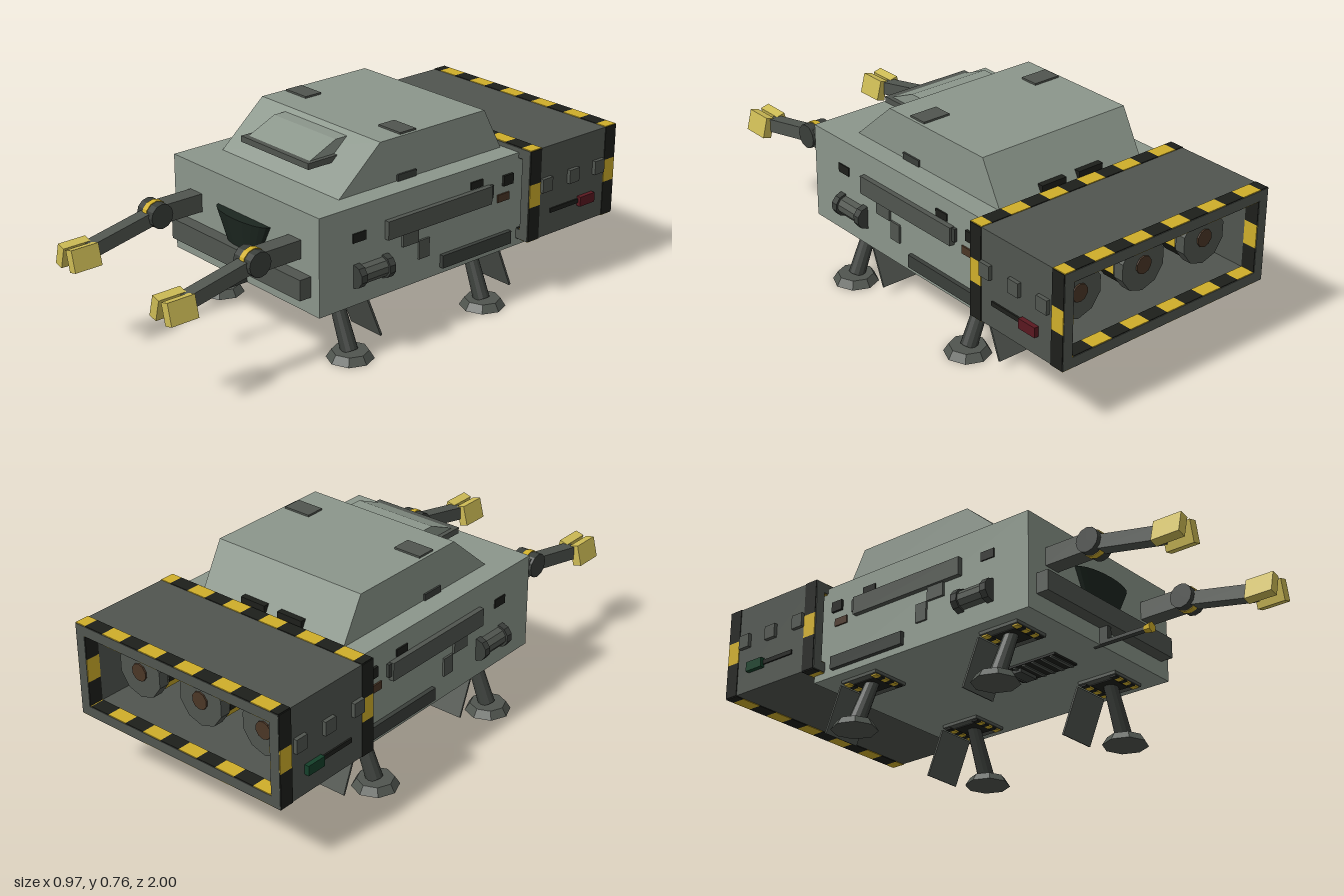
import * as THREE from 'three';

const mat = (color) => new THREE.MeshStandardMaterial({ color, flatShading: true });
const HULL = mat(0x8b968b), DARK = mat(0x50554f), DEEP = mat(0x3a3e3a), BLACK = mat(0x1d1f1b),
  YELLOW = mat(0xcfae2a), CLAW = mat(0xcdbb55), GLASS = mat(0x1c2620), RUST = mat(0x4a3626),
  RED = mat(0x5a1820), GREEN = mat(0x14402a);

export function createModel() {
  const model = new THREE.Group();

  const add = (name, geo, m, x = 0, y = 0, z = 0, parent = model) => {
    const mesh = new THREE.Mesh(geo, m);
    mesh.name = name;
    mesh.position.set(x, y, z);
    parent.add(mesh);
    return mesh;
  };
  // Box given by its extents on each axis
  const box = (name, m, x0, x1, y0, y1, z0, z1, parent) =>
    add(name, new THREE.BoxGeometry(Math.abs(x1 - x0), Math.abs(y1 - y0), Math.abs(z1 - z0)), m,
      (x0 + x1) / 2, (y0 + y1) / 2, (z0 + z1) / 2, parent);
  // Side profile of [z, y] points, extruded across x
  const profile = (name, m, pts, halfWidth) => {
    const shape = new THREE.Shape(pts.map(([z, y]) => new THREE.Vector2(-z, y)));
    const geo = new THREE.ExtrudeGeometry(shape, { depth: halfWidth * 2, bevelEnabled: false });
    geo.translate(0, 0, -halfWidth).rotateY(Math.PI / 2);
    return add(name, geo, m);
  };
  // Tapered rod between two points
  const rod = (name, m, a, b, r0, r1, sides = 10) => {
    const p = new THREE.Vector3(...a), q = new THREE.Vector3(...b);
    const d = q.clone().sub(p);
    const mesh = add(name, new THREE.CylinderGeometry(r1, r0, d.length(), sides), m);
    mesh.position.copy(p).add(q).multiplyScalar(0.5);
    mesh.quaternion.setFromUnitVectors(new THREE.Vector3(0, 1, 0), d.normalize());
    return mesh;
  };

  // Hull and cabin
  box('hull', HULL, -0.408, 0.408, 0.22, 0.59, -0.585, 0.43);
  profile('cabin', HULL, [[0.27, 0.59], [0.08, 0.755], [-0.43, 0.755], [-0.52, 0.59]], 0.325);
  profile('visor', HULL, [[0.275, 0.685], [0.15, 0.74], [0.08, 0.74], [0.1, 0.685]], 0.17);
  box('visorLip', DARK, -0.187, 0.187, 0.665, 0.688, 0.14, 0.29);
  box('bumper', DARK, -0.365, 0.365, 0.285, 0.363, 0.42, 0.48);

  // Bulging tapered nose window
  const nose = new THREE.CylinderGeometry(0.148, 0.085, 0.125, 10, 1, false, -Math.PI / 2, Math.PI);
  nose.scale(1, 1, 0.32);
  add('noseWindow', nose, GLASS, 0, 0.412, 0.43);

  // Probe under the nose
  rod('probe', DEEP, [0, 0.227, 0.4], [0, 0.227, 0.63], 0.013, 0.013, 6);
  rod('probeTip', YELLOW, [0, 0.227, 0.62], [0, 0.227, 0.648], 0.015, 0.021, 6);
  box('probeBracket', DEEP, -0.011, 0.011, 0.225, 0.3, 0.43, 0.465);

  // Belly grille
  box('bellySensor', DEEP, -0.045, 0.045, 0.198, 0.222, 0.055, 0.1);
  box('grille', BLACK, -0.065, 0.065, 0.212, 0.222, 0.02, 0.27);
  for (let i = 0; i < 6; i++)
    box('grilleSlat', DARK, -0.062, 0.062, 0.207, 0.214, 0.035 + i * 0.042, 0.048 + i * 0.042);

  // Engine housing: a tunnel open at both ends
  const EX = 0.465, EY0 = 0.25, EY1 = 0.607, T = 0.038, Z0 = -1, Z1 = -0.532;
  const wall = new THREE.Shape([[-EX, EY0], [EX, EY0], [EX, EY1], [-EX, EY1]].map((p) => new THREE.Vector2(...p)));
  wall.holes.push(new THREE.Path([[-EX + T, EY0 + T], [-EX + T, EY1 - T], [EX - T, EY1 - T], [EX - T, EY0 + T]]
    .map((p) => new THREE.Vector2(...p))));
  add('engineHousing', new THREE.ExtrudeGeometry(wall, { depth: Z1 - Z0, bevelEnabled: false }), DARK, 0, 0, Z0);

  // Hazard bands around both ends of the housing, outside and inside
  const E = 0.003;
  for (const z of [Z0 + 0.002, Z1 - 0.06]) {
    const z1 = z + 0.056;
    for (const [y0, y1] of [[EY0 - E, EY0 + T + E], [EY1 - T - E, EY1 + E]])
      for (let i = -1; i < 11; i++) {
        const x0 = Math.max(-EX, -0.43 + i * 0.085), x1 = Math.min(EX, -0.345 + i * 0.085);
        box('hazardStripe', i % 2 ? BLACK : YELLOW, x0, x1, y0, y1, z, z1);
      }
    for (const s of [-1, 1])
      [[EY0, 0.385], [0.385, 0.475], [0.475, EY1]].forEach(([y0, y1], i) =>
        box('hazardStripe', i === 1 ? YELLOW : BLACK, s * (EX - T - E), s * (EX + E), y0, y1, z, z1));
  }

  // Three thrusters
  for (const x of [-0.29, 0, 0.29]) {
    rod('thruster', DARK, [x, 0.425, -0.57], [x, 0.425, -0.85], 0.075, 0.085, 10);
    rod('thrusterNozzle', DARK, [x, 0.425, -0.84], [x, 0.425, -0.88], 0.1, 0.1, 10);
    rod('thrusterCore', RUST, [x, 0.425, -0.87], [x, 0.425, -0.886], 0.034, 0.034, 10);
    for (let i = 0; i < 10; i++) {
      const band = new THREE.CylinderGeometry(0.093, 0.093, 0.08, 1, 1, true, i * Math.PI / 5, Math.PI / 5);
      band.rotateX(Math.PI / 2);
      add('thrusterBand', band, i % 2 ? BLACK : YELLOW, x, 0.425, -0.79);
    }
  }

  for (const s of [-1, 1]) {
    // Side fittings: [name, material, z0, z1, y0, y1, outer x]
    for (const [name, m, z0, z1, y0, y1, out] of [
      ['sideWindow', BLACK, 0.22, 0.28, 0.458, 0.492, 0.413],
      ['sideRail', DARK, -0.38, 0.13, 0.432, 0.502, 0.428],
      ['railEnd', DEEP, -0.395, -0.38, 0.45, 0.5, 0.42],
      ['sidePanel', DARK, -0.025, 0.05, 0.38, 0.432, 0.418],
      ['sidePanel', DARK, -0.08, -0.03, 0.31, 0.382, 0.416],
      ['sideVent', BLACK, -0.345, -0.285, 0.508, 0.535, 0.414],
      ['rustPlate', RUST, -0.485, -0.425, 0.42, 0.45, 0.414],
      ['sideVent', BLACK, -0.5, -0.45, 0.48, 0.52, 0.418],
      ['lowerRail', DEEP, -0.49, -0.14, 0.245, 0.295, 0.425],
    ]) box(name, m, s * 0.4, s * out, y0, y1, z0, z1);
    box('cabinSideVent', DEEP, s * 0.32, s * 0.332, 0.588, 0.615, -0.09, 0);
    box('roofHatch', DARK, s * 0.2, s * 0.313, 0.75, 0.762, -0.1, -0.025);
    box('rearVent', BLACK, s * 0.03, s * 0.14, 0.592, 0.625, -0.525, -0.495);

    // Side tank with end collars
    rod('sideTank', DARK, [s * 0.41, 0.332, 0.12], [s * 0.41, 0.332, 0.27], 0.036, 0.036, 10);
    for (const z of [0.115, 0.248])
      rod('tankCollar', DEEP, [s * 0.41, 0.332, z], [s * 0.41, 0.332, z + 0.027], 0.044, 0.044, 10);

    // Housing side fittings and running light
    for (const z of [-0.62, -0.765, -0.905])
      box('housingBox', DARK, s * 0.46, s * 0.48, 0.433, 0.487, z - 0.026, z + 0.026);
    box('housingBar', BLACK, s * 0.46, s * 0.471, 0.338, 0.355, -0.83, -0.65);
    box('runningLight', s > 0 ? RED : GREEN, s * 0.46, s * 0.483, 0.326, 0.364, -0.88, -0.8);

    // Manipulator arm
    box('upperArm', DARK, s * 0.245, s * 0.313, 0.412, 0.482, 0.42, 0.6);
    rod('elbow', DEEP, [s * 0.233, 0.447, 0.615], [s * 0.323, 0.447, 0.615], 0.047, 0.047, 12);
    rod('elbowBand', YELLOW, [s * 0.267, 0.447, 0.615], [s * 0.29, 0.447, 0.615], 0.05, 0.05, 12);
    const forearm = add('forearm', new THREE.BoxGeometry(0.052, 0.052, 0.3), DARK, s * 0.279, 0.414, 0.758);
    forearm.rotation.x = 0.2;
    for (const k of [-1, 1]) {
      const claw = add('claw', new THREE.BoxGeometry(0.036, 0.082, 0.112), CLAW, s * 0.279 + k * 0.034, 0.379, 0.944);
      claw.rotation.z = k * 0.25;
    }

    // Landing legs with bay frame, hazard trim and open door
    for (const z of [0.255, -0.405]) {
      box('bayFrame', DARK, s * 0.2, s * 0.36, 0.208, 0.225, z - 0.085, z + 0.085);
      box('bayOpening', BLACK, s * 0.23, s * 0.33, 0.205, 0.21, z - 0.05, z + 0.05);
      for (const e of [-1, 1])
        for (let i = 0; i < 6; i++)
          box('bayTrim', i % 2 ? YELLOW : BLACK, s * (0.21 + i * 0.0235), s * (0.2335 + i * 0.0235),
            0.202, 0.21, z + e * 0.055, z + e * 0.08);
      rod('leg', DEEP, [s * 0.365, 0.025, z], [s * 0.285, 0.215, z], 0.032, 0.026, 12);
      add('footPad', new THREE.CylinderGeometry(0.068, 0.087, 0.03, 8), DARK, s * 0.37, 0.015, z);
      const door = add('bayDoor', new THREE.BoxGeometry(0.16, 0.185, 0.008), DARK, s * 0.28, 0.117, z - 0.123);
      door.rotation.x = 0.39;
    }
  }
  return model;
}
